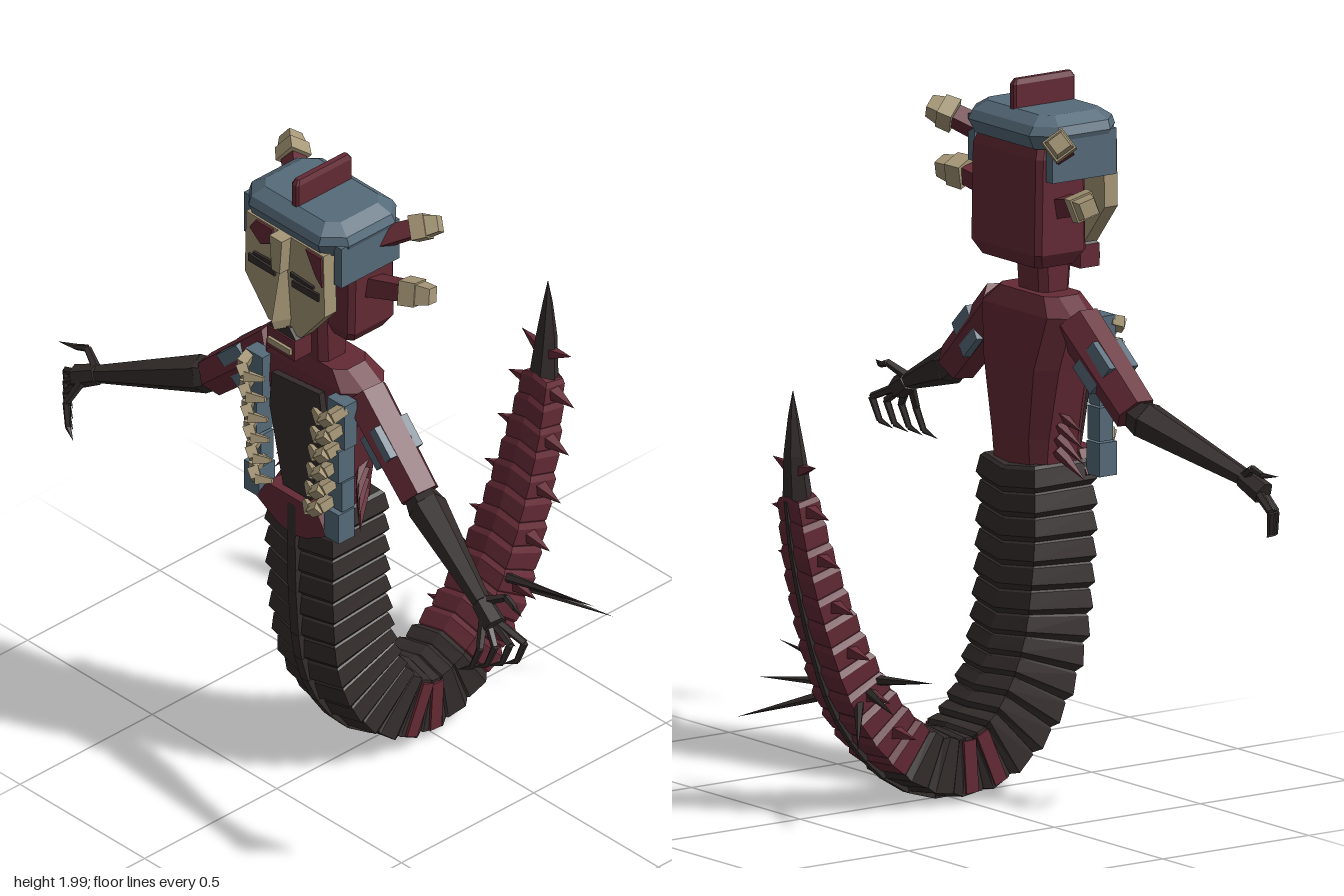
import * as THREE from 'three';

const mat = (name, color) => {
  const m = new THREE.MeshStandardMaterial({ color });
  m.name = name;
  return m;
};
const V = (x, y, z) => new THREE.Vector3(x, y, z);

export function createModel() {
  const model = new THREE.Group();
  model.name = 'serpentWarrior';
  const maroon = mat('maroon', 0x642a35);
  const dark = mat('charcoal', 0x342d2c);
  const blue = mat('slateBlue', 0x566b7a);
  const tan = mat('bone', 0xa69777);

  const add = (name, geo, m) => {
    const g = geo.index ? geo.toNonIndexed() : geo;
    g.computeVertexNormals();
    const mesh = new THREE.Mesh(g, m);
    mesh.name = name;
    model.add(mesh);
    return mesh;
  };
  // faceted skin through rings of equal point count, capped, always facing outward
  const loft = (name, rings, m) => {
    const tris = [], n = rings[0].length;
    for (let i = 0; i < rings.length - 1; i++)
      for (let j = 0; j < n; j++) {
        const k = (j + 1) % n, a = rings[i], b = rings[i + 1];
        tris.push([a[j], a[k], b[k]], [a[j], b[k], b[j]]);
      }
    const end = rings[rings.length - 1];
    for (let j = 1; j < n - 1; j++)
      tris.push([rings[0][0], rings[0][j + 1], rings[0][j]], [end[0], end[j], end[j + 1]]);
    const o = rings[0][0];
    let volume = 0;
    for (const [a, b, c] of tris)
      volume += a.clone().sub(o).dot(b.clone().sub(o).cross(c.clone().sub(o)));
    const pts = tris.flatMap(([a, b, c]) => (volume < 0 ? [a, c, b] : [a, b, c]));
    return add(name, new THREE.BufferGeometry().setFromPoints(pts), m);
  };
  // horizontal rectangle with cut corners
  const oct = (y, hx, z0, z1, c) => [
    V(hx, y, z0 + c), V(hx, y, z1 - c), V(hx - c, y, z1), V(c - hx, y, z1),
    V(-hx, y, z1 - c), V(-hx, y, z0 + c), V(c - hx, y, z0), V(hx - c, y, z0)];
  const bar = (name, a, b, r0, r1, m, sides = 4) => {
    const d = b.clone().sub(a);
    const g = new THREE.CylinderGeometry(r1, r0, d.length(), sides);
    if (sides === 4) g.rotateY(Math.PI / 4);
    const mesh = add(name, g, m);
    mesh.position.copy(a).add(b).multiplyScalar(0.5);
    mesh.quaternion.setFromUnitVectors(V(0, 1, 0), d.normalize());
    return mesh;
  };
  const box = (name, x0, x1, y0, y1, z0, z1, m) =>
    add(name, new THREE.BoxGeometry(Math.abs(x1 - x0), y1 - y0, z1 - z0), m)
      .position.set((x0 + x1) / 2, (y0 + y1) / 2, (z0 + z1) / 2);
  // flat polygon plate facing the front
  const plate = (name, pts, z, depth, m) => loft(name,
    [z, z + depth].map(q => pts.map(([x, y]) => V(x, y, q))), m);

  // Torso, neck and head
  loft('torso', [oct(0.86, 0.11, 0.23, 0.4, 0.03), oct(1.0, 0.125, 0.22, 0.4, 0.04),
    oct(1.2, 0.165, 0.215, 0.41, 0.05), oct(1.35, 0.2, 0.235, 0.4, 0.05),
    oct(1.4, 0.13, 0.26, 0.385, 0.03)], maroon);
  loft('neck', [oct(1.38, 0.065, 0.285, 0.385, 0.02), oct(1.54, 0.07, 0.275, 0.395, 0.02)], maroon);
  loft('skull', [oct(1.49, 0.135, 0.215, 0.35, 0.015), oct(1.53, 0.16, 0.195, 0.37, 0.015),
    oct(1.8, 0.16, 0.2, 0.365, 0.015), oct(1.84, 0.15, 0.215, 0.35, 0.015)], maroon);

  // Helmet with cheek flaps and crest
  loft('helmet', [oct(1.83, 0.185, 0.2, 0.46, 0.05), oct(1.87, 0.2, 0.18, 0.475, 0.06),
    oct(1.895, 0.19, 0.195, 0.465, 0.05), oct(1.92, 0.15, 0.23, 0.43, 0.03)], blue);
  loft('crest', [oct(1.915, 0.014, 0.225, 0.435, 0.006), oct(1.985, 0.014, 0.225, 0.435, 0.006),
    oct(2.0, 0.008, 0.235, 0.425, 0.004)], maroon);

  // Mask
  plate('mask', [[-0.155, 1.84], [0.155, 1.84], [0.16, 1.64], [0.065, 1.525], [-0.065, 1.525], [-0.16, 1.64]], 0.425, 0.045, tan);
  plate('rightEyePaint', [[-0.135, 1.8], [-0.11, 1.835], [-0.045, 1.835], [-0.04, 1.79], [-0.09, 1.765]], 0.469, 0.008, maroon);
  plate('leftEyePaint', [[0.09, 1.835], [0.15, 1.835], [0.155, 1.74], [0.13, 1.765]], 0.469, 0.008, maroon);
  plate('foreheadRidge', [[-0.025, 1.84], [0.025, 1.84], [0.016, 1.73], [-0.016, 1.73]], 0.47, 0.035, tan);
  loft('nose', [[V(-0.014, 1.75, 0.46), V(0.014, 1.75, 0.46), V(0, 1.75, 0.485)],
    [V(-0.03, 1.57, 0.46), V(0.03, 1.57, 0.46), V(0, 1.57, 0.52)],
    [V(-0.025, 1.54, 0.46), V(0.025, 1.54, 0.46), V(0, 1.54, 0.51)]], tan);
  plate('moustache', [[-0.03, 1.545], [0.03, 1.545], [0.055, 1.515], [-0.055, 1.515]], 0.43, 0.05, dark);
  box('chin', -0.055, 0.055, 1.45, 1.515, 0.42, 0.485, maroon);
  box('lip', -0.045, 0.045, 1.468, 1.487, 0.48, 0.494, tan);

  // Chest and hip plates
  plate('chestPlate', [[-0.1, 1.31], [0.09, 1.33], [0.11, 1.2], [0.055, 0.96], [-0.055, 0.96], [-0.11, 1.2]], 0.405, 0.02, dark);
  plate('hipPlate', [[-0.1, 0.955], [0.1, 0.955], [0.14, 0.89], [0.06, 0.845], [0, 0.83], [-0.06, 0.845], [-0.14, 0.89]], 0.38, 0.065, maroon);

  for (const s of [1, -1]) {
    const P = (x, y, z) => V(s * x, y, z);
    const side = s > 0 ? 'left' : 'right';
    const chain = (name, pts, radii, m, sides) => {
      for (let i = 0; i < pts.length - 1; i++)
        bar(side + name, pts[i], pts[i + 1], radii[i], radii[i + 1], m, sides);
    };

    // Face and helmet sides
    box(side + 'CheekFlap', s * 0.165, s * 0.195, 1.74, 1.87, 0.22, 0.44, blue);
    plate(side + 'EyeSlot', [[s * 0.035, 1.685], [s * 0.035, 1.705], [s * 0.14, 1.71], [s * 0.14, 1.685]], 0.469, 0.008, dark);
    plate(side + 'BrowLine', [[s * 0.03, 1.715], [s * 0.03, 1.73], [s * 0.12, 1.725], [s * 0.12, 1.717]], 0.469, 0.009, dark);

    // Head horns with bone tips
    for (const [root, mid, tip] of [
      [P(0.14, 1.8, 0.29), P(0.24, 1.855, 0.21), P(0.3, 1.88, 0.165)],
      [P(0.13, 1.655, 0.29), P(0.26, 1.685, 0.265), P(0.345, 1.695, 0.235)]]) {
      bar(side + 'Horn', root, mid, 0.04, 0.035, maroon);
      bar(side + 'HornTip', mid, mid.clone().lerp(tip, 0.55), 0.05, 0.048, tan);
      bar(side + 'HornEnd', mid.clone().lerp(tip, 0.4), tip, 0.044, 0.032, tan);
    }

    // Flank armour and ribs
    [[1.2, 1.345, 0.13], [1.09, 1.195, 0.14], [0.99, 1.085, 0.135], [0.89, 0.985, 0.13]].forEach(([y0, y1, x], i) =>
      box(side + 'FlankPlate', s * x, s * (i ? 0.19 : 0.2), y0, y1, 0.385, i % 2 ? 0.445 : 0.432, blue));
    for (let i = 0; i < 6; i++) {
      const y = 1.33 - i * 0.064, x = 0.188 - i * 0.009, t = 0.1 - i * 0.007;
      chain('Rib', [P(x, y, 0.42), P(x - 0.01, y - 0.015, 0.465), P(x - 0.035, y - 0.035, 0.475), P(t, y - 0.03, 0.455)],
        [0.02, 0.022, 0.02, 0.009], tan);
    }
    // Waist spurs
    for (let i = 0; i < 4; i++)
      bar(side + 'WaistSpur', P(0.12, 0.97 + i * 0.035, 0.29), P(0.175 - i * 0.005, 0.88 + i * 0.045, 0.35), 0.022, 0, maroon);

    // Arm
    const shoulder = P(0.17, 1.33, 0.325), elbow = P(0.41, 1.115, 0.345), wrist = P(0.77, 0.985, 0.45);
    bar(side + 'UpperArm', shoulder, elbow, 0.068, 0.062, maroon, 6);
    bar(side + 'ShoulderPad', shoulder.clone().lerp(elbow, 0.33), shoulder.clone().lerp(elbow, 0.63), 0.078, 0.078, blue);
    chain('Forearm', [elbow, P(0.45, 1.1, 0.355), wrist], [0.045, 0.056, 0.026], dark, 6);
    bar(side + 'Palm', wrist, P(0.84, 0.95, 0.465), 0.03, 0.034, dark, 6);

    // Claws
    for (let k = 0; k < 4; k++) {
      const x = 0.92 - 0.03 * k, y = 0.915 - 0.008 * k, z = 0.43 + 0.028 * k;
      chain('Finger', [P(0.83 - 0.008 * k, 0.955, 0.45 + 0.01 * k), P(x, y, z), P(x - 0.02, y - 0.065, z + 0.012), P(x - 0.06, y - 0.085, z + 0.03)],
        [0.013, 0.011, 0.009, 0], dark, 5);
    }
    chain('Thumb', [P(0.77, 0.99, 0.45), P(0.84, 1.025, 0.425), P(0.88, 1.012, 0.43), P(0.93, 1.015, 0.45)], [0.015, 0.011, 0.009, 0], dark, 5);
  }

  // Tail stations: z, y, half thickness, half width
  const stations = [[0.31, 0.93, 0.128, 0.135], [0.31, 0.75, 0.128, 0.138], [0.303, 0.6, 0.13, 0.135],
    [0.28, 0.42, 0.133, 0.13], [0.225, 0.28, 0.128, 0.125], [0.13, 0.165, 0.115, 0.12],
    [0.01, 0.113, 0.1, 0.112], [-0.11, 0.135, 0.094, 0.105], [-0.22, 0.215, 0.088, 0.1],
    [-0.32, 0.345, 0.082, 0.092], [-0.41, 0.55, 0.067, 0.078], [-0.475, 0.76, 0.053, 0.064], [-0.508, 0.92, 0.042, 0.05]];
  const path = new THREE.CatmullRomCurve3(stations.map(([z, y]) => V(0, y, z)));
  const sizes = new THREE.CatmullRomCurve3(stations.map(([, , d, w]) => V(w, d, 0)));
  const frame = u => {
    const t = path.getUtoTmapping(Math.min(Math.max(u, 0), 1));
    const T = path.getTangent(t), size = sizes.getPoint(t);
    return { p: path.getPoint(t), T, out: V(0, T.z, -T.y), w: size.x, d: size.y };
  };
  // six-sided slice with a keel on both faces, swept into a chevron
  const slice = (u, k, sweep) => {
    const f = frame(u), at = (x, o, a) =>
      f.p.clone().add(V(x * f.w * k, 0, 0)).addScaledVector(f.out, o * f.d * k).addScaledVector(f.T, a);
    return [at(1, 0.84, 0), at(0, 1, sweep), at(-1, 0.84, 0), at(-1, -0.84, 0), at(0, -1, sweep), at(1, -0.84, 0)];
  };
  const N = 28;
  for (let i = 0; i < N; i++) {
    const u0 = i / N, u1 = (i + 1) / N, red = i >= 16;
    loft('tailSegment', [slice(u0, 0.86, 0.014), slice(u0 + 0.12 / N, 0.93, 0.014), slice(u1 - 0.2 / N, 1, 0.014),
      slice(u1 + 0.04 / N, 0.9, 0.014)], red ? maroon : dark);
    // belly keel
    const a = frame(u0), b = frame(u1);
    bar('tailKeel', a.p.clone().addScaledVector(a.out, a.d * 0.93), b.p.clone().addScaledVector(b.out, b.d * 0.93),
      a.w * 0.17, b.w * 0.17, dark);
    for (const s of [1, -1]) {
      const f = frame((i + 0.5) / N);
      // painted bands on the sides of the bend
      if (i === 12 || i === 13) {
        const m = add('tailSideBand', new THREE.BoxGeometry(0.008, 0.042, f.d * 1.5), maroon);
        m.position.copy(f.p).setX(s * f.w);
        m.rotation.x = Math.atan2(f.T.z, f.T.y);
      }
      // short spines
      if (i >= 17 && i % 2)
        bar('tailSpine', f.p.clone().setX(s * f.w * 0.9),
          f.p.clone().addScaledVector(f.T, -0.01).setX(s * (f.w + 0.08)), 0.024, 0, maroon);
    }
  }

  // Tail tip with its last spines
  const tipRing = (z, y, r) => Array.from({ length: 6 }, (_, i) =>
    V(r * 1.1 * Math.cos(i * Math.PI / 3), y, z + r * Math.sin(i * Math.PI / 3)));
  loft('tailTip', [tipRing(-0.507, 0.9, 0.042), tipRing(-0.519, 1.04, 0.03), tipRing(-0.524, 1.15, 0.014), tipRing(-0.525, 1.22, 0.001)], dark);
  for (const s of [1, -1]) {
    bar('tipSpine', V(s * 0.025, 1.0, -0.515), V(s * 0.1, 1.02, -0.52), 0.02, 0, maroon);
    // Long quills
    for (const [x, y, z] of [[0.355, 0.43, -0.31], [0.31, 0.345, -0.41], [0.28, 0.25, -0.51]])
      bar('longQuill', V(s * 0.07, 0.36 + (y - 0.345) * 0.3, -0.32 + (z + 0.41) * 0.3), V(s * x, y, z), 0.016, 0, dark, 5);
  }
  return model;
}
